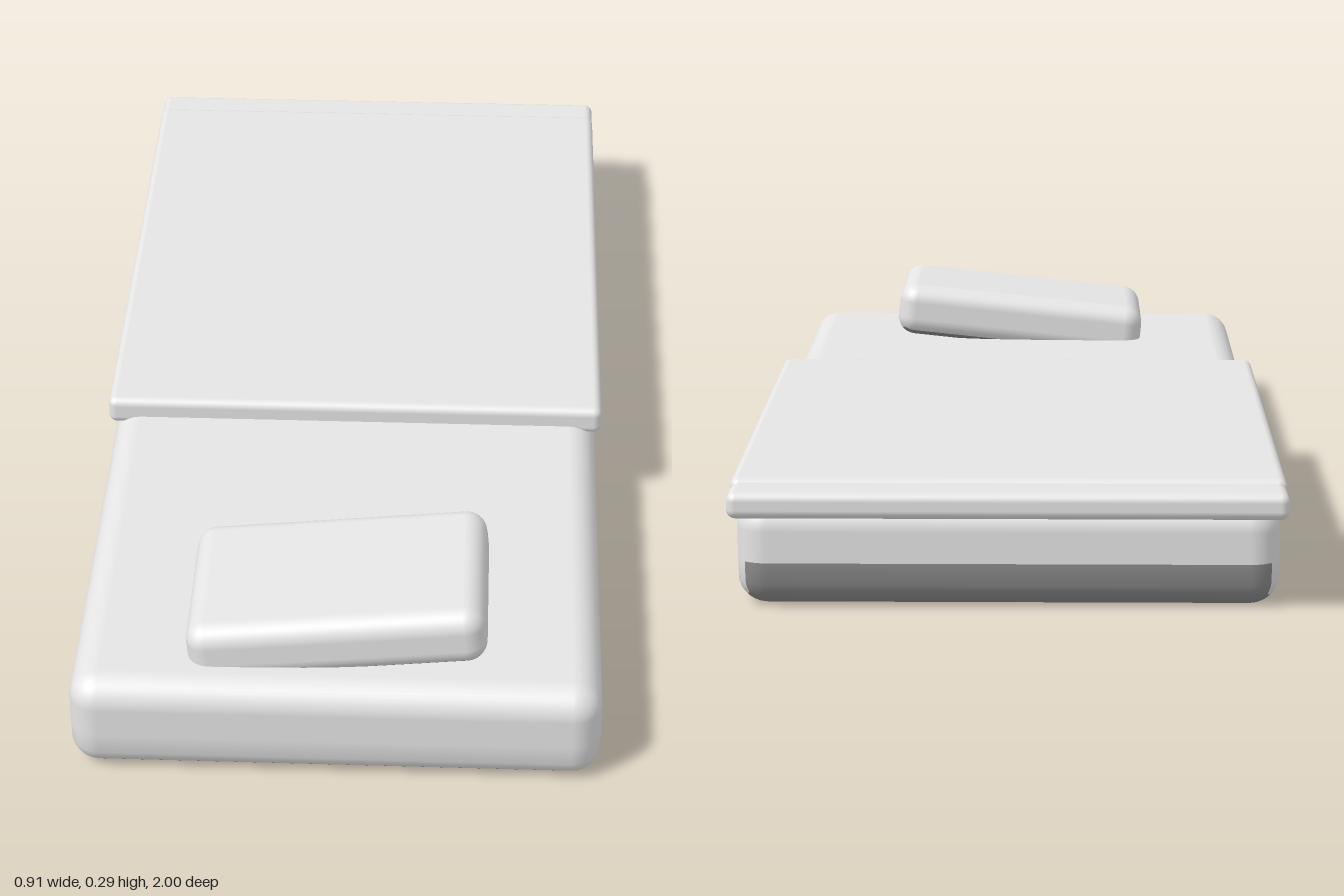
import * as THREE from 'three';
import { RoundedBoxGeometry } from 'three/addons/geometries/RoundedBoxGeometry.js';

export function createModel() {
  const group = new THREE.Group();
  const material = (name, color) => {
    const m = new THREE.MeshStandardMaterial({ color });
    m.name = name;
    return m;
  };
  const fabric = material('pale fabric', 0xe5e5e5);
  const underside = material('grey underside', 0x8c8c8c);
  // Order of faces: +x, -x, +y, -y, +z, -z
  const darkBelow = [fabric, fabric, fabric, underside, fabric, fabric];

  // Rounded block given by its size, centre and edge radius
  const block = (name, size, centre, radius, mat) => {
    const mesh = new THREE.Mesh(new RoundedBoxGeometry(...size, 4, radius), mat);
    mesh.name = name;
    mesh.position.set(...centre);
    group.add(mesh);
    return mesh;
  };

  const mattress = block('mattress', [0.894, 0.177, 1.95], [0, 0.0885, 0.025], 0.05, darkBelow);

  // Raise the edge where the lower rounding starts, then colour the back below it grey
  const geometry = mattress.geometry;
  const position = geometry.attributes.position;
  for (let i = 0; i < position.count; i++) {
    if (Math.abs(position.getY(i) + 0.0385) < 0.0005) position.setY(i, -0.0135);
  }
  const back = geometry.groups[5];
  const paleCount = (back.count * 5) / 9; // upper five of nine rows
  geometry.addGroup(back.start + paleCount, back.count - paleCount, 3);
  back.count = paleCount;

  // Blanket over the back half, with a lower hem overhanging the end
  block('blanket', [0.914, 0.052, 1.125], [0, 0.186, -0.3675], 0.015, fabric);
  block('blanketHem', [0.914, 0.044, 0.19], [0, 0.181, -0.905], 0.015, fabric);

  // Pillow tilted sideways, one edge sunk into the mattress
  const pillow = block('pillow', [0.505, 0.105, 0.33], [0, 0.215, 0.77], 0.036, darkBelow);
  pillow.rotation.z = 0.105;

  return group;
}
